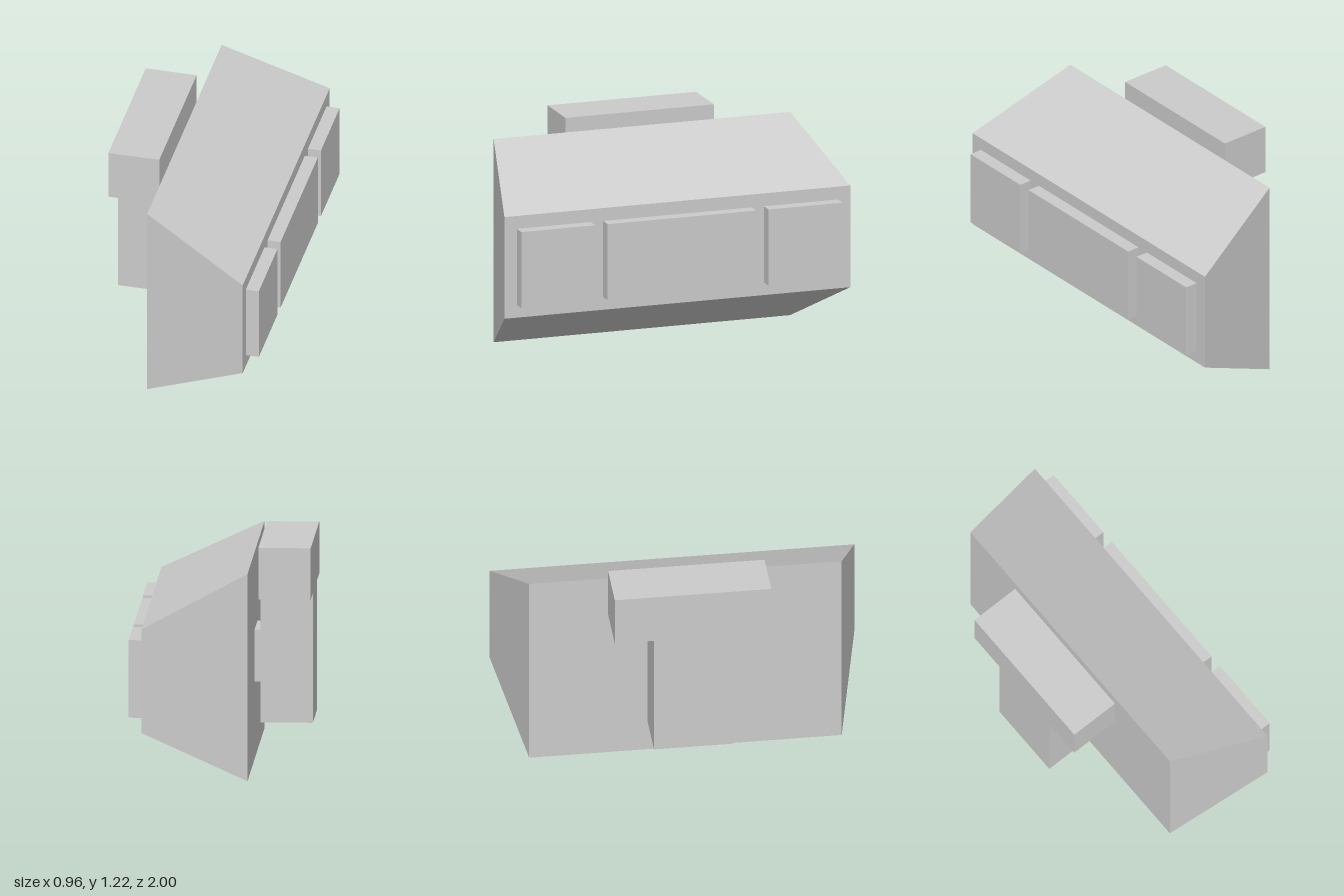
import * as THREE from 'three';

const material = new THREE.MeshStandardMaterial({ color: 0xcccccc, flatShading: true });

// Box given by its [min, max] range on each axis
function block(name, [x0, x1], [y0, y1], [z0, z1]) {
  const mesh = new THREE.Mesh(new THREE.BoxGeometry(x1 - x0, y1 - y0, z1 - z0), material);
  mesh.position.set((x0 + x1) / 2, (y0 + y1) / 2, (z0 + z1) / 2);
  mesh.name = name;
  return mesh;
}

export function createModel() {
  const model = new THREE.Group();
  model.name = 'model';
  const inner = -0.163, outer = 0.407, tip = 0.48, midY = 0.571;

  // Main body: tall and short in z at the inner end, low and long at the outer end
  const body = block('body', [inner, outer], [0, 1.143], [-1, 1]);
  const p = body.geometry.attributes.position;
  for (let i = 0; i < p.count; i++) {
    if (p.getX(i) > 0) p.setY(i, Math.sign(p.getY(i)) * 0.286);
    else p.setZ(i, Math.sign(p.getZ(i)) * 0.857);
  }
  body.geometry.computeVertexNormals();
  model.add(body);

  // Three raised panels on the outer face
  const panelY = [midY - 0.214, midY + 0.214];
  model.add(block('centrePanel', [outer, tip], panelY, [-0.429, 0.429]));
  for (const s of [-1, 1]) {
    const z = s * 0.714;
    model.add(block(s > 0 ? 'frontPanel' : 'backPanel', [outer, tip], panelY, [z - 0.214, z + 0.214]));
  }

  // T-shaped mount joined to the inner face by a short neck
  const mountX = [-0.484, -0.199];
  model.add(block('neck', [mountX[1], inner], [midY - 0.143, midY + 0.143], [-0.143, 0.143]));
  model.add(block('mountStem', mountX, [0.215, 0.93], [-0.214, 0.214]));
  model.add(block('mountBar', mountX, [0.93, 1.215], [-0.429, 0.429]));

  return model;
}
